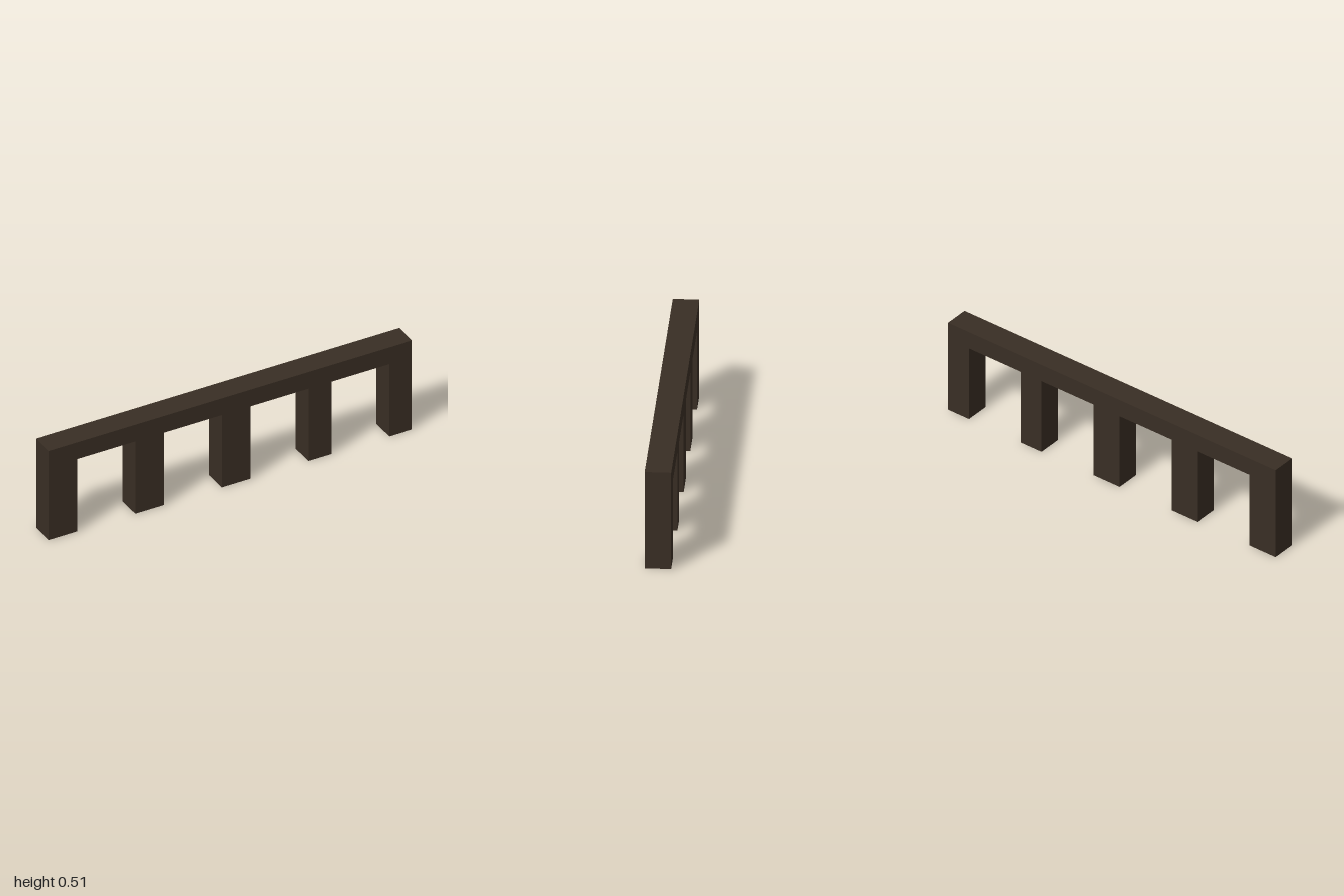
import * as THREE from 'three';

// The whole piece sits on a grid 63 units long, 16 high and 4 deep
const U = 2 / 63;
const HEIGHT = 16, DEPTH = 4, LEG_HEIGHT = 13, GAP = 10;
const LEG_WIDTHS = [5, 5, 5, 4, 4];

export function createModel() {
  const group = new THREE.Group();
  group.name = 'leggedBeam';
  const darkWood = new THREE.MeshStandardMaterial({ color: 0x392e24 });
  darkWood.name = 'dark wood';

  // Comb-shaped outline: along the legs from left to right, then back over the top
  const outline = new THREE.Shape();
  let x = -1;
  outline.moveTo(x, 0);
  LEG_WIDTHS.forEach((width, i) => {
    x += width * U;
    outline.lineTo(x, 0);
    if (i === LEG_WIDTHS.length - 1) return;
    outline.lineTo(x, LEG_HEIGHT * U);
    x += GAP * U;
    outline.lineTo(x, LEG_HEIGHT * U);
    outline.lineTo(x, 0);
  });
  outline.lineTo(x, HEIGHT * U);
  outline.lineTo(-1, HEIGHT * U);
  outline.closePath();

  // Beam and its five legs as one solid
  const geometry = new THREE.ExtrudeGeometry(outline, { depth: DEPTH * U, bevelEnabled: false });
  geometry.translate(0, 0, -DEPTH * U / 2);
  const beam = new THREE.Mesh(geometry, darkWood);
  beam.name = 'beamWithLegs';
  group.add(beam);
  return group;
}
